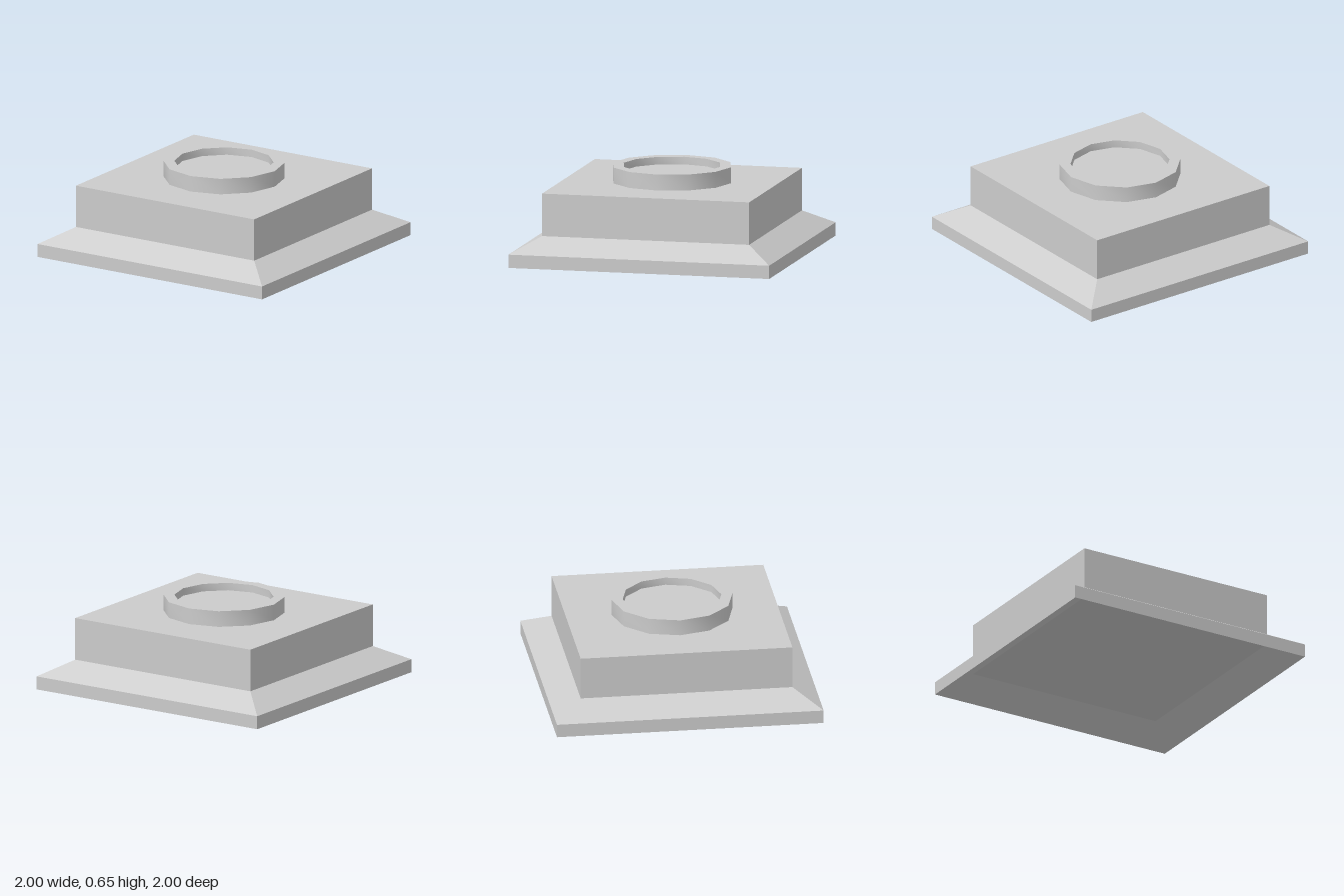
import * as THREE from 'three';
import { toCreasedNormals } from 'three/addons/utils/BufferGeometryUtils.js';

const material = new THREE.MeshStandardMaterial({ color: 0xcccccc });

// Turned part from [radius, y] pairs, running up the outside
function turned(name, profile, sides, crease) {
  const points = profile.map(([r, y]) => new THREE.Vector2(r, y));
  const geometry = toCreasedNormals(new THREE.LatheGeometry(points, sides), crease);
  const mesh = new THREE.Mesh(geometry, material);
  mesh.name = name;
  return mesh;
}

// Square part: four-sided turning, profile given in half widths
function square(name, profile) {
  const mesh = turned(name, profile.map(([w, y]) => [w * Math.SQRT2, y]), 4, 0.1);
  mesh.geometry.rotateY(Math.PI / 4);
  return mesh;
}

export function createModel() {
  const group = new THREE.Group();
  group.name = 'squareButton';
  const half = 0.794, floor = 0.135, top = 0.535;

  // Sloping skirt with a vertical lip, hollow underneath
  group.add(square('skirt', [[half, floor], [1, 0], [1, 0.1], [half, 0.215]]));

  // Block standing inside the skirt
  const block = new THREE.Mesh(new THREE.BoxGeometry(half * 2, top - floor, half * 2), material);
  block.name = 'block';
  block.position.y = (top + floor) / 2;
  group.add(block);

  // Twelve-sided raised ring with a sunken disc
  group.add(turned('ring', [[0.452, top], [0.452, 0.655], [0.37, 0.655], [0.37, 0.598]], 12, 0.7));
  group.add(turned('disc', [[0.37, 0.598], [0, 0.598]], 12, 0.7));

  return group;
}
